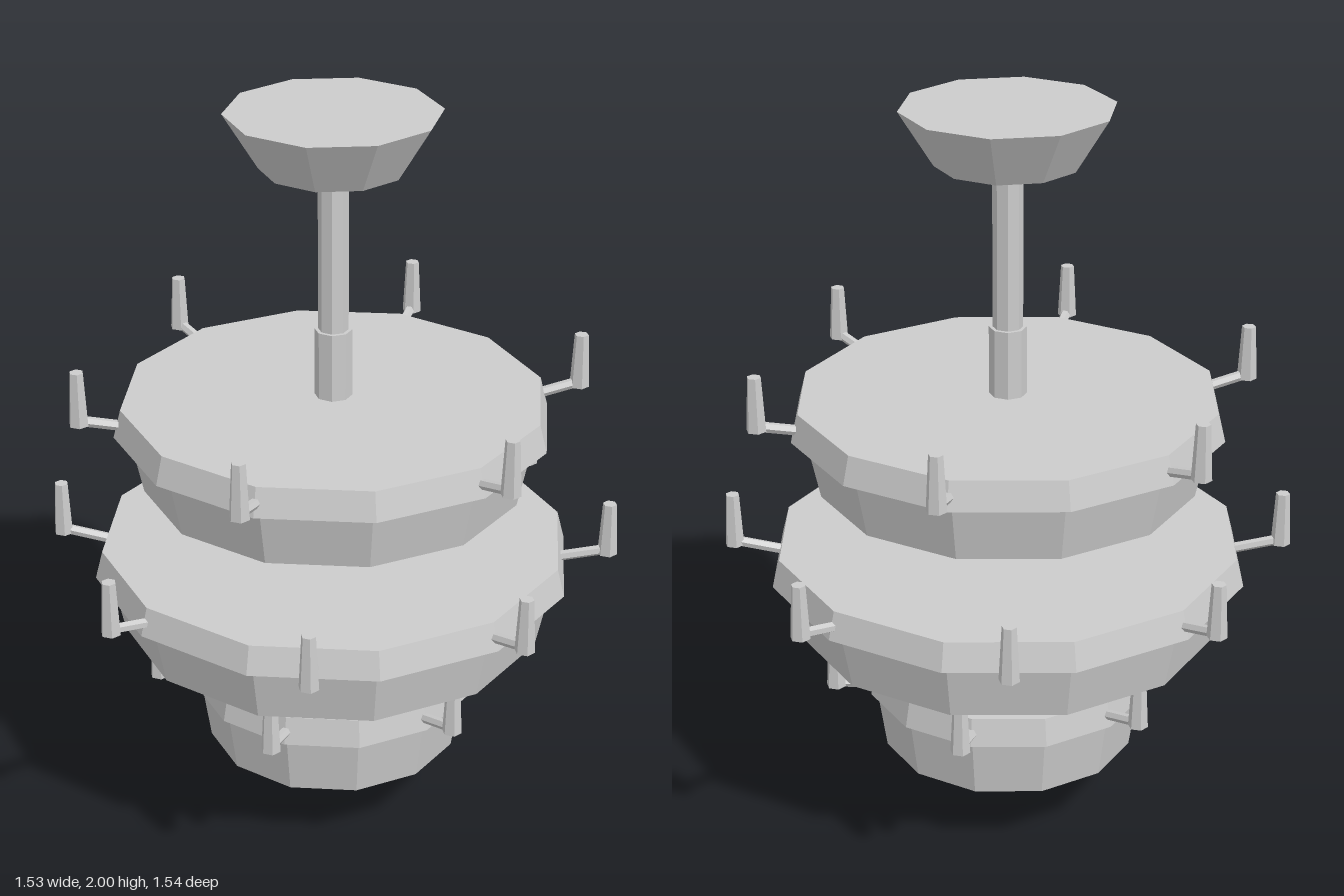
import * as THREE from 'three';

export function createModel() {
  const group = new THREE.Group();
  group.name = 'tieredChandelier';
  const grey = new THREE.MeshStandardMaterial({ color: 0xcccccc, flatShading: true });
  grey.name = 'grey';

  function add(parent, name, geometry) {
    const mesh = new THREE.Mesh(geometry, grey);
    mesh.name = name;
    parent.add(mesh);
    return mesh;
  }

  // Upright tapered prism between two heights
  function prism(parent, name, rTop, rBottom, y0, y1, sides) {
    const mesh = add(parent, name, new THREE.CylinderGeometry(rTop, rBottom, y1 - y0, sides));
    mesh.position.y = (y0 + y1) / 2;
    return mesh;
  }

  // Straight rod between two points
  function rod(parent, name, a, b, radius) {
    const dir = b.clone().sub(a);
    const mesh = add(parent, name, new THREE.CylinderGeometry(radius, radius, dir.length(), 6));
    mesh.position.copy(a).add(b).multiplyScalar(0.5);
    mesh.quaternion.setFromUnitVectors(new THREE.Vector3(0, 1, 0), dir.normalize());
  }

  // Ceiling mount and central stem
  prism(group, 'ceilingCanopy', 0.28, 0.19, 1.855, 2, 10);
  prism(group, 'upperStem', 0.04, 0.04, 1.38, 1.87, 8);
  prism(group, 'lowerStem', 0.05, 0.05, 0.16, 1.41, 8);

  // Faceted finial under the stem
  const profile = [[0, 0], [0.052, 0.022], [0.09, 0.1], [0.052, 0.17], [0, 0.19]];
  add(group, 'finial', new THREE.LatheGeometry(profile.map(([x, y]) => new THREE.Vector2(x, y)), 8));

  // Tiers: drum, overhanging rim and a ring of candle arms
  const tiers = [
    { name: 'lowerTier', y: 0.195, drum: [0.372, 0.348], rim: [0.375, 0.39], reach: 0.487, arms: 6 },
    { name: 'middleTier', y: 0.565, drum: [0.61, 0.575], rim: [0.63, 0.65], reach: 0.743, arms: 8 },
    { name: 'upperTier', y: 0.98, drum: [0.545, 0.51], rim: [0.565, 0.585], reach: 0.673, arms: 6 },
  ];
  for (const t of tiers) {
    const tier = new THREE.Group();
    tier.name = t.name;
    group.add(tier);
    prism(tier, 'drum', t.drum[0], t.drum[1], t.y, t.y + 0.165, 12);
    prism(tier, 'rim', t.rim[0], t.rim[1], t.y + 0.165, t.y + 0.242, 12);
    for (let i = 0; i < t.arms; i++) {
      const angle = (i / t.arms) * Math.PI * 2;
      const at = (r, y) => new THREE.Vector3(Math.cos(angle) * r, t.y + y, Math.sin(angle) * r);
      rod(tier, 'candleArm', at(t.rim[0] - 0.02, 0.194), at(t.reach, 0.222), 0.014);
      const candle = prism(tier, 'candle', 0.019, 0.027, t.y + 0.21, t.y + 0.36, 6);
      candle.position.x = Math.cos(angle) * t.reach;
      candle.position.z = Math.sin(angle) * t.reach;
    }
  }
  return group;
}
